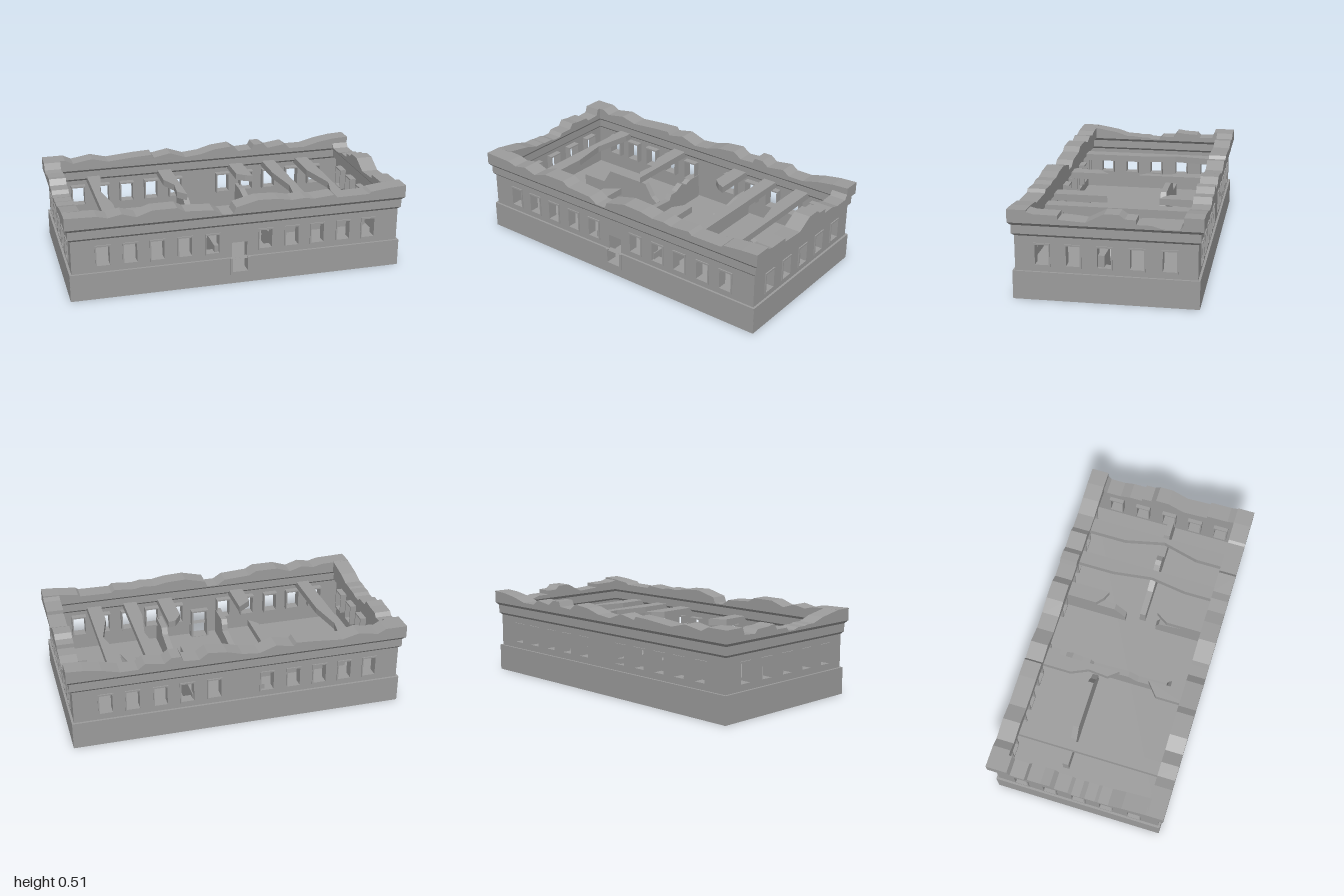
import * as THREE from 'three';

const material = new THREE.MeshStandardMaterial({ color: 0x9c9c9c, flatShading: true, side: THREE.DoubleSide });
const HX = 0.97, HZ = 0.495, FLOOR = 0.073;
const windowsX = [-0.79, -0.635, -0.48, -0.32, -0.16, 0.155, 0.315, 0.47, 0.63, 0.785];
const windowsZ = [-0.345, -0.17, 0.005, 0.175, 0.345];

const rect = (u0, u1, y0, y1) => [[u0, y0], [u1, y0], [u1, y1], [u0, y1]];
const vectors = pts => pts.map(p => new THREE.Vector2(p[0], p[1]));

// Upright slab: outline (u, y) with holes, u running along x or z, centred at `at` on the other axis
function slab(name, outline, holes, thickness, axis, at) {
  const shape = new THREE.Shape(vectors(outline));
  holes.forEach(h => shape.holes.push(new THREE.Path(vectors(h))));
  const geo = new THREE.ExtrudeGeometry(shape, { depth: thickness, bevelEnabled: false });
  geo.translate(0, 0, -thickness / 2);
  if (axis === 'z') geo.rotateY(-Math.PI / 2);
  geo.translate(axis === 'z' ? at : 0, 0, axis === 'z' ? 0 : at);
  const mesh = new THREE.Mesh(geo, material);
  mesh.name = name;
  return mesh;
}

// Slab with a flat foot and a broken top line
function ragged(name, top, foot, thickness, axis, at) {
  const outline = [[top[0][0], foot], [top[top.length - 1][0], foot], ...[...top].reverse()];
  return slab(name, outline, [], thickness, axis, at);
}

// Closed rectangular moulding: profile of [offset from wall face, y]
function moulding(name, profile) {
  const pos = [], index = [], n = profile.length;
  for (const [o, y] of profile)
    for (const [sx, sz] of [[1, 1], [1, -1], [-1, -1], [-1, 1]]) pos.push(sx * (HX + o), y, sz * (HZ + o));
  for (let i = 0; i < n; i++) for (let k = 0; k < 4; k++) {
    const j = (i + 1) % n, m = (k + 1) % 4;
    const a = i * 4 + k, b = i * 4 + m, c = j * 4 + m, d = j * 4 + k;
    index.push(a, b, c, a, c, d);
  }
  const geo = new THREE.BufferGeometry();
  geo.setAttribute('position', new THREE.Float32BufferAttribute(pos, 3));
  geo.setIndex(index);
  const flat = geo.toNonIndexed();
  flat.computeVertexNormals();
  const mesh = new THREE.Mesh(flat, material);
  mesh.name = name;
  return mesh;
}

// Flat beam from a plan outline of (x, z)
function beam(plan) {
  const shape = new THREE.Shape(vectors(plan.map(([x, z]) => [x, -z])));
  const geo = new THREE.ExtrudeGeometry(shape, { depth: 0.04, bevelEnabled: false });
  geo.rotateX(-Math.PI / 2).translate(0, 0.345, 0);
  const mesh = new THREE.Mesh(geo, material);
  mesh.name = 'ceilingBeam';
  return mesh;
}

export function createModel() {
  const model = new THREE.Group();
  model.name = 'ruinedBuilding';
  const add = (...m) => model.add(...m);

  // Floor plate, raised inside the hollow base
  const floor = new THREE.Mesh(new THREE.BoxGeometry(1.95, 0.01, 1.01), material);
  floor.position.y = FLOOR - 0.005;
  floor.name = 'floor';
  add(floor);

  // Thin walls pierced by windows, base course below, window surrounds standing proud inside
  const hole = c => rect(c - 0.0375, c + 0.0375, 0.2, 0.312);
  const frame = c => rect(c - 0.045, c + 0.045, 0.19, 0.321);
  const sides = [
    { axis: 'x', half: HX, face: HZ, sign: 1, openings: windowsX, door: true },
    { axis: 'x', half: HX, face: HZ, sign: -1, openings: windowsX },
    { axis: 'z', half: HZ, face: HX, sign: 1, openings: windowsZ },
    { axis: 'z', half: HZ, face: HX, sign: -1, openings: windowsZ },
  ];
  const doorTop = [[-0.045, 0.15], [-0.045, 0.25], [0.045, 0.25], [0.045, 0.15]];
  const doorNotch = [[0.045, 0.16], [0.045, 0.075], [-0.045, 0.075], [-0.045, 0.16]];
  for (const s of sides) {
    const wall = s.door
      ? [[-s.half, 0.15], ...doorTop, [s.half, 0.15], [s.half, 0.37], [-s.half, 0.37]]
      : rect(-s.half, s.half, 0.15, 0.37);
    add(slab('wall', wall, s.openings.map(hole), 0.015, s.axis, s.sign * (s.face - 0.0075)));
    const e = s.half + 0.012;
    const base = s.door
      ? [[-e, 0], [e, 0], [e, 0.16], ...doorNotch, [-e, 0.16]]
      : rect(-e, e, 0, 0.16);
    add(slab('baseCourse', base, [], 0.012, s.axis, s.sign * (s.face + 0.007)));
    // Ledge closing the base course against the wall
    add(slab('baseLedge', rect(-s.half, s.half, 0.15, 0.16), s.door ? [rect(-0.045, 0.045, 0.1501, 0.1599)] : [],
      0.025, s.axis, s.sign * s.face));
    for (const c of s.openings)
      add(slab('windowSurround', frame(c), [hole(c)], 0.06, s.axis, s.sign * (s.face - 0.023)));
  }

  // Doorway passage with a wider foot on the front face
  add(slab('doorPassage', rect(-0.055, 0.055, 0.06, 0.26), [rect(-0.045, 0.045, 0.075, 0.25)], 0.05, 'x', 0.467));
  add(slab('doorFoot', [[-0.06, 0.055], [0.06, 0.055], [0.06, 0.16], ...doorNotch, [-0.06, 0.16]], [], 0.06, 'x', 0.487));

  // Cornice running round the building
  add(moulding('cornice', [[0, 0.358], [0.014, 0.372], [0.014, 0.42], [0.03, 0.437], [0.03, 0.441],
    [-0.07, 0.441], [-0.07, 0.437], [-0.055, 0.42], [-0.055, 0.372], [-0.04, 0.358]]));

  // Broken parapets
  const front = [[-1, 0.51], [-0.82, 0.505], [-0.76, 0.49], [-0.68, 0.505], [-0.6, 0.48], [-0.51, 0.51], [-0.37, 0.51],
    [-0.325, 0.485], [-0.16, 0.475], [-0.11, 0.443], [-0.045, 0.443], [-0.03, 0.478], [0.1, 0.51], [0.22, 0.505],
    [0.3, 0.49], [0.38, 0.495], [0.43, 0.485], [0.555, 0.495], [0.575, 0.478], [0.77, 0.48], [0.785, 0.492], [0.9, 0.505], [1, 0.51]];
  const back = [[-1, 0.51], [-0.87, 0.51], [-0.82, 0.485], [-0.7, 0.505], [-0.6, 0.48], [-0.42, 0.495], [-0.32, 0.5],
    [-0.305, 0.48], [-0.2, 0.5], [-0.1, 0.465], [0, 0.475], [0.09, 0.5], [0.2, 0.51], [0.25, 0.475], [0.34, 0.48],
    [0.355, 0.51], [0.41, 0.51], [0.45, 0.48], [0.56, 0.495], [0.6, 0.465], [0.7, 0.465], [0.8, 0.49], [0.9, 0.505], [1, 0.51]];
  const left = [[-0.43, 0.485], [-0.4, 0.443], [-0.31, 0.443], [-0.25, 0.46], [-0.17, 0.46], [-0.169, 0.485],
    [-0.11, 0.487], [-0.08, 0.51], [0, 0.51], [0.1, 0.458], [0.249, 0.466], [0.25, 0.488], [0.38, 0.49], [0.43, 0.503]];
  const right = [[-0.43, 0.51], [-0.4, 0.51], [-0.385, 0.47], [-0.3, 0.465], [-0.28, 0.487], [-0.2, 0.49], [-0.145, 0.498],
    [-0.12, 0.465], [-0.04, 0.465], [-0.02, 0.445], [0.03, 0.445], [0.06, 0.455], [0.12, 0.455], [0.14, 0.46],
    [0.2, 0.46], [0.28, 0.485], [0.43, 0.51]];
  add(ragged('frontParapet', front, 0.437, 0.105, 'x', 0.4725));
  add(ragged('backParapet', back, 0.437, 0.105, 'x', -0.4725));
  add(ragged('leftParapet', left, 0.437, 0.1, 'z', 0.95));
  add(ragged('rightParapet', right, 0.437, 0.1, 'z', -0.95));

  // Crumbling partition walls
  const partitions = [
    ['x', -0.14, [[-0.78, 0.17], [-0.615, 0.17], [-0.56, 0.26], [-0.27, 0.26], [-0.22, 0.18], [-0.18, 0.15]]],
    ['x', 0.025, [[0.28, 0.17], [0.44, 0.185], [0.51, 0.215], [0.56, 0.195], [0.6, 0.25], [0.63, 0.26], [0.67, 0.24],
      [0.7, 0.17], [0.79, 0.17], [0.81, 0.26], [0.96, 0.265]]],
    ['z', -0.13, [[-0.485, 0.23], [-0.385, 0.23], [-0.345, 0.215], [-0.3, 0.235], [-0.24, 0.205], [-0.19, 0.205], [-0.17, 0.17],
      [0.06, 0.19], [0.12, 0.15], [0.3, 0.17], [0.31, 0.21], [0.33, 0.24], [0.485, 0.24]]],
    ['z', 0.265, [[-0.485, 0.23], [-0.38, 0.23], [-0.28, 0.21], [-0.15, 0.21], [-0.08, 0.13]]],
    ['z', 0.265, [[0.12, 0.13], [0.14, 0.17], [0.3, 0.2], [0.32, 0.24], [0.485, 0.24]]],
  ];
  for (const [axis, at, top] of partitions) add(ragged('partitionWall', top, FLOOR, 0.037, axis, at));

  // Chipped ceiling beams, three whole and two snapped in the middle
  const Z = 0.47;
  for (const [straight, edge, notch, zn] of [[-0.735, -0.655, -0.692, -0.16], [0.5, 0.418, 0.45, 0.03], [0.73, 0.645, 0.7, 0.04]])
    add(beam([[straight, -Z], [edge, -Z], [edge, zn - 0.24], [notch, zn], [edge, zn + 0.22], [edge, Z], [straight, Z]]));
  add(beam([[-0.28, -Z], [-0.195, -Z], [-0.195, 0.02], [-0.245, -0.04], [-0.235, -0.16], [-0.28, -0.26]]));
  add(beam([[-0.28, Z], [-0.195, Z], [-0.195, 0.2], [-0.28, 0.27]]));
  add(beam([[0.19, -Z], [0.28, -Z], [0.28, -0.19], [0.235, -0.21], [0.19, -0.25]]));
  add(beam([[0.19, Z], [0.28, Z], [0.28, 0.12], [0.235, 0.13], [0.19, 0.2]]));

  return model;
}
